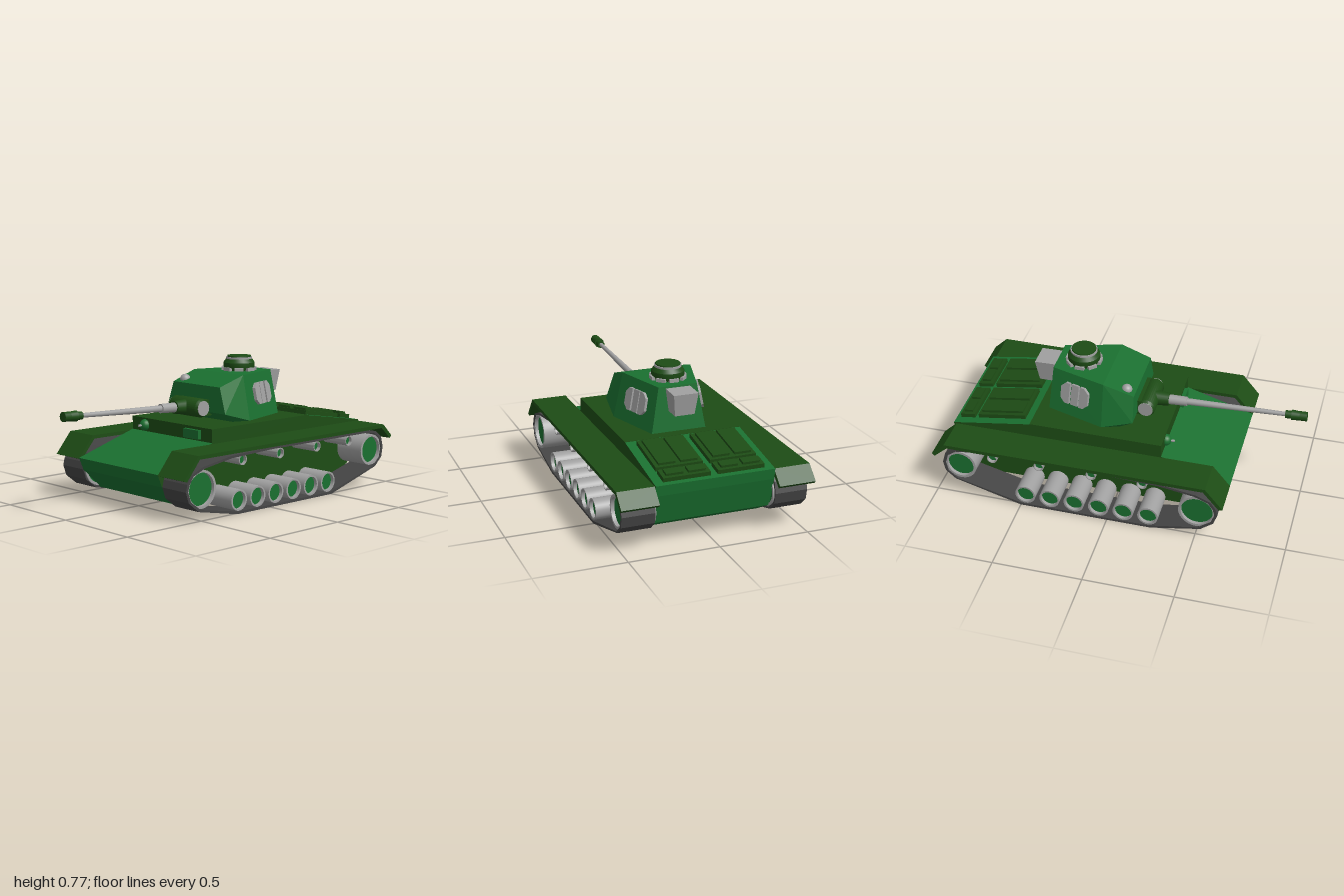
import * as THREE from 'three';
import { toCreasedNormals } from 'three/addons/utils/BufferGeometryUtils.js';
import { ConvexGeometry } from 'three/addons/geometries/ConvexGeometry.js';

const mat = (color) => new THREE.MeshStandardMaterial({ color });
const DARK = mat(0x1d4c15), GREEN = mat(0x1a7030), GREY = mat(0xa0a0a0), TRACK = mat(0x444444);

function add(parent, name, geometry, material, x = 0, y = 0, z = 0) {
  const mesh = new THREE.Mesh(geometry, material);
  mesh.name = name;
  mesh.position.set(x, y, z);
  parent.add(mesh);
  return mesh;
}

const vec2s = (pts) => pts.map(([x, y]) => new THREE.Vector2(x, y));
const box = (w, h, d) => new THREE.BoxGeometry(w, h, d);

// Side profile in x/y, pushed from z0 to z1
function extrude(pts, z0, z1, hole) {
  const shape = new THREE.Shape(vec2s(pts));
  if (hole) shape.holes.push(new THREE.Path(vec2s(hole)));
  const g = new THREE.ExtrudeGeometry(shape, { depth: z1 - z0, bevelEnabled: false });
  return g.translate(0, 0, z0);
}

const lathe = (pts, n = 28) => toCreasedNormals(new THREE.LatheGeometry(vec2s(pts), n), 0.6);

// Hollow drum along z with a recessed hub
function wheel(parent, name, x, y, r, rim, z0, z1) {
  const g = new THREE.Group();
  g.name = name;
  const ri = r - rim;
  add(g, 'rim', lathe([[ri, z0], [r, z0], [r, z1], [ri, z1], [ri, z0]]).rotateX(Math.PI / 2), GREY);
  add(g, 'hub', new THREE.CylinderGeometry(ri, ri, z1 - z0 - 0.04, 28).rotateX(Math.PI / 2), GREEN, 0, 0, (z0 + z1) / 2);
  g.position.set(x, y, 0);
  parent.add(g);
}

function runningGear(side) {
  const g = new THREE.Group();
  g.name = side > 0 ? 'leftRunningGear' : 'rightRunningGear';
  g.scale.z = side;

  // Track belt
  const loop = [[-0.62, 0.17], [-0.6, 0.11], [-0.53, 0.055], [-0.25, 0], [0.5, 0], [0.88, 0.11],
    [0.935, 0.16], [0.947, 0.22], [0.93, 0.28], [0.88, 0.318], [0.8, 0.33], [0, 0.332],
    [-0.3, 0.32], [-0.5, 0.288], [-0.58, 0.255], [-0.61, 0.21]];
  const inner = loop.map(([x, y]) => [(x - 0.16) * 0.98 + 0.16, (y - 0.165) * 0.92 + 0.165]);
  add(g, 'track', extrude(loop, 0.333, 0.515, inner), TRACK);

  // Wheels
  wheel(g, 'frontWheel', -0.505, 0.17, 0.103, 0.014, 0.325, 0.51);
  wheel(g, 'rearWheel', 0.845, 0.212, 0.09, 0.014, 0.325, 0.51);
  for (let i = 0; i < 6; i++) wheel(g, 'roadWheel', -0.232 + i * 0.141, 0.073, 0.058, 0.01, 0.318, 0.51);
  for (const x of [-0.195, 0.092, 0.39, 0.66]) wheel(g, 'returnRoller', x, 0.285, 0.029, 0.005, 0.325, 0.5);

  // Fender with sloping end flaps
  add(g, 'fender', extrude([[-0.65, 0.235], [-0.63, 0.228], [-0.54, 0.335], [0.91, 0.335], [0.985, 0.268],
    [1, 0.283], [0.925, 0.355], [-0.55, 0.355]], 0.33, 0.535), DARK);
  return g;
}

function hull() {
  const g = new THREE.Group();
  g.name = 'hull';
  const profile = [[-0.5, 0.055], [0.74, 0.055], [0.88, 0.133], [0.93, 0.3], [0.94, 0.36], [0.49, 0.433],
    [-0.26, 0.36], [-0.65, 0.24], [-0.62, 0.17]];
  add(g, 'lowerHull', extrude(profile, -0.33, 0.33), [GREEN, GREEN]).material = [DARK, GREEN];
  add(g, 'superstructure', box(0.75, 0.105, 0.66), DARK, 0.115, 0.3825, 0);

  // Driver's visor and machine gun ball
  add(g, 'driverVisor', box(0.03, 0.05, 0.12), GREEN, -0.267, 0.395, 0.18);
  add(g, 'machineGunBall', new THREE.SphereGeometry(0.033, 20, 12), GREEN, -0.26, 0.395, -0.22);
  add(g, 'machineGun', new THREE.CylinderGeometry(0.007, 0.007, 0.03, 10).rotateZ(Math.PI / 2), GREY, -0.295, 0.395, -0.22);

  // Engine covers follow the slope of the rear deck
  const deck = new THREE.Group();
  deck.name = 'engineDeck';
  deck.position.set(0.49, 0.433, 0);
  deck.rotation.z = -Math.atan2(0.073, 0.45);
  for (const s of [1, -1]) {
    for (const [x, w] of [[0.18, 0.28], [0.385, 0.085]]) {
      add(deck, 'engineCover', box(w, 0.026, 0.26), DARK, x, 0.01, s * 0.15);
      for (const z of [0.09, 0.212]) add(deck, 'coverPanel', box(w - 0.035, 0.02, 0.094), DARK, x, 0.026, s * z);
    }
  }
  g.add(deck);
  return g;
}

function sideHatch(side) {
  const outer = new THREE.Group();
  outer.name = 'sideHatch';
  outer.scale.z = side;
  const g = new THREE.Group();
  const u = new THREE.Vector3(0.957, 0, -0.29), n = new THREE.Vector3(0.284, 0.198, 0.936).normalize();
  g.setRotationFromMatrix(new THREE.Matrix4().makeBasis(u, new THREE.Vector3().crossVectors(n, u), n));
  g.position.set(0.265, 0.57, 0.176);
  // Two clipped-corner doors and a middle strip
  for (const s of [1, -1]) {
    const pts = [[0.033, -0.062], [0.06, -0.062], [0.088, -0.035], [0.088, 0.035], [0.06, 0.062], [0.033, 0.062]];
    add(g, 'hatchDoor', extrude(pts.map(([x, y]) => [x * s, y]), -0.005, 0.018), GREY);
  }
  add(g, 'hatchStrip', box(0.046, 0.124, 0.02), GREY, 0, 0, 0.005);
  outer.add(g);
  return outer;
}

function cupola() {
  const g = new THREE.Group();
  g.name = 'cupola';
  g.position.set(0.265, 0.68, 0);
  add(g, 'cupolaBody', lathe([[0, 0], [0.08, 0], [0.09, 0.022], [0.09, 0.05], [0.074, 0.072], [0, 0.072]]), DARK);
  add(g, 'cupolaRing', lathe([[0.06, 0.068], [0.075, 0.068], [0.075, 0.082], [0.06, 0.082], [0.06, 0.068]]), GREY);
  add(g, 'cupolaLid', new THREE.CylinderGeometry(0.068, 0.07, 0.02, 28), DARK, 0, 0.079, 0);
  // Vision blocks
  for (let i = 0; i < 8; i++) {
    const a = (i * Math.PI) / 4;
    add(g, 'visionBlock', box(0.02, 0.022, 0.052), GREY, 0.09 * Math.cos(a), 0.013, -0.09 * Math.sin(a)).rotation.y = a;
  }
  return g;
}

function gun() {
  const g = new THREE.Group();
  g.name = 'gun';
  g.position.set(-0.12, 0.51, -0.01);
  g.rotation.z = -0.0375;
  // Name, start radius, end radius, start, end, material
  const parts = [['collar', 0.042, 0.036, 0.03, 0.11, DARK], ['sleeve', 0.028, 0.026, 0.1, 0.21, GREY],
    ['barrel', 0.019, 0.012, 0.2, 0.78, GREY], ['muzzleNeck', 0.022, 0.022, 0.76, 0.8, DARK],
    ['muzzleBrake', 0.029, 0.025, 0.795, 0.84, DARK], ['muzzleTip', 0.026, 0.026, 0.84, 0.88, DARK]];
  for (const [name, r0, r1, a, b, m] of parts) {
    add(g, name, new THREE.CylinderGeometry(r1, r0, b - a, 20).rotateZ(Math.PI / 2), m, -(a + b) / 2, 0, 0);
  }
  return g;
}

function turret() {
  const g = new THREE.Group();
  g.name = 'turret';
  const corners = [[0, 0.435, 0.22], [0.1, 0.435, 0.255], [0.43, 0.435, 0.155], [-0.075, 0.485, 0.238],
    [-0.07, 0.63, 0.19], [0.1, 0.685, 0.2], [0.41, 0.685, 0.11]];
  const pts = corners.flatMap(([x, y, z]) => [new THREE.Vector3(x, y, z), new THREE.Vector3(x, y, -z)]);
  add(g, 'turretShell', new ConvexGeometry(pts), GREEN);
  for (const s of [1, -1]) g.add(sideHatch(s));
  g.add(cupola(), gun());

  // Mantlet drum with pale end caps
  const drum = lathe([[0, -0.12], [0.042, -0.12], [0.052, -0.105], [0.052, 0.105], [0.042, 0.12], [0, 0.12]]);
  add(g, 'mantlet', drum.rotateX(Math.PI / 2), DARK, -0.12, 0.51, -0.01);
  for (const s of [1, -1]) {
    add(g, 'mantletCap', new THREE.CylinderGeometry(0.042, 0.042, 0.006, 24).rotateX(Math.PI / 2), GREY, -0.12, 0.51, -0.01 + s * 0.121);
  }
  add(g, 'mantletBase', box(0.09, 0.09, 0.23), DARK, -0.075, 0.51, -0.01);

  // Stowage bin, narrower at the bottom
  const bin = [[0.4, 0.675, 0.07], [0.532, 0.672, 0.07], [0.512, 0.55, 0.056], [0.4, 0.55, 0.056]];
  add(g, 'stowageBin', new ConvexGeometry(bin.flatMap(([x, y, z]) =>
    [new THREE.Vector3(x, y, z), new THREE.Vector3(x, y, -z)])), GREY);
  add(g, 'roofVent', new THREE.SphereGeometry(0.03, 20, 12), GREY, -0.02, 0.642, -0.147);
  return g;
}

export function createModel() {
  const model = new THREE.Group();
  model.name = 'tank';
  model.add(hull(), turret(), runningGear(1), runningGear(-1));
  return model;
}
